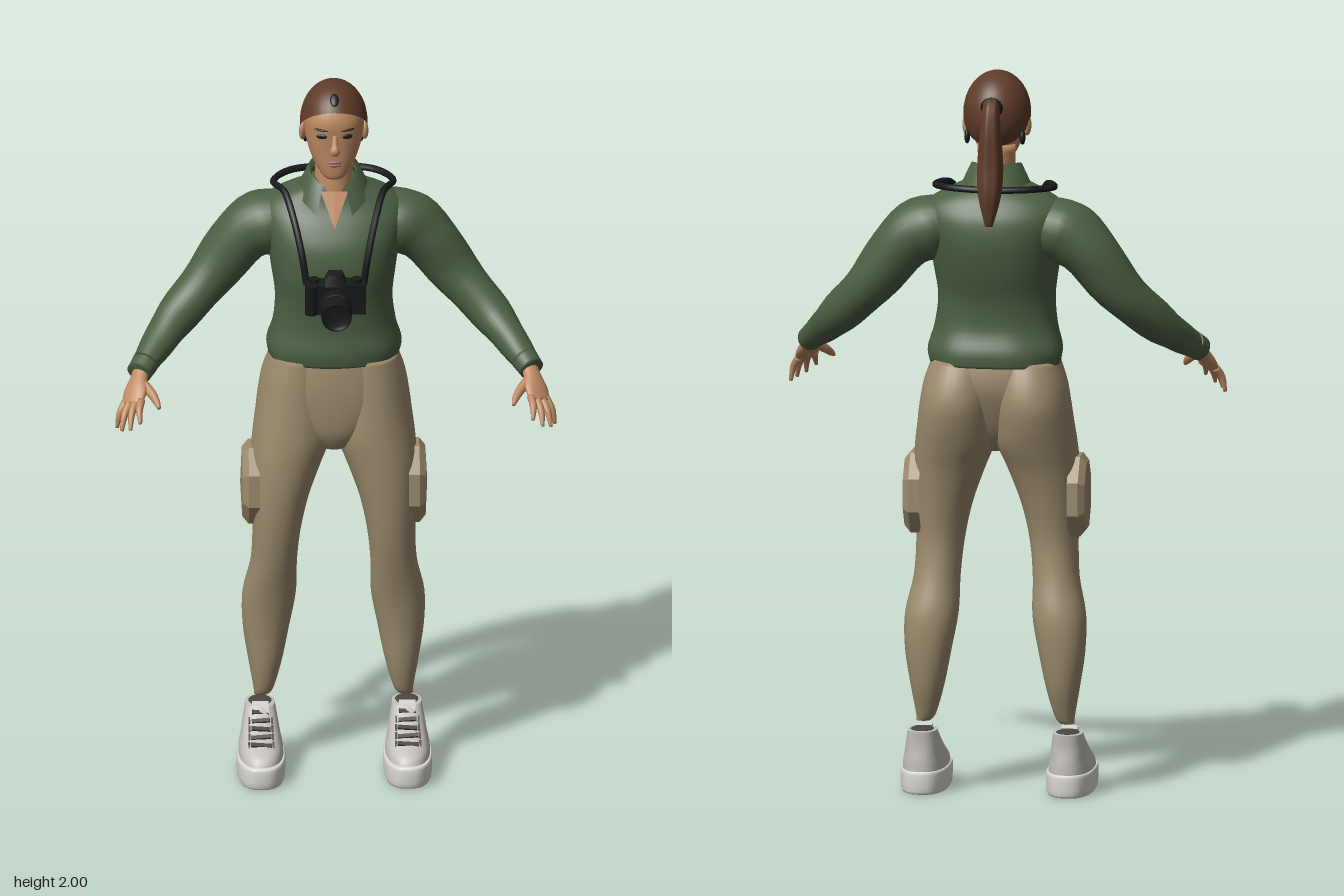
import * as THREE from 'three';

const mat = (name, color, side = THREE.FrontSide) => {
  const m = new THREE.MeshStandardMaterial({ color, side });
  m.name = name;
  return m;
};

// Catmull-Rom interpolation of whole rows of numbers
function smoothRows(rows, steps) {
  const out = [], last = rows.length - 1;
  for (let i = 0; i < last; i++) {
    const p = rows[Math.max(i - 1, 0)], a = rows[i], b = rows[i + 1], q = rows[Math.min(i + 2, last)];
    for (let s = 0; s < steps; s++) {
      const t = s / steps;
      out.push(a.map((v, k) => {
        const c1 = b[k] - p[k], c2 = 2 * p[k] - 5 * v + 4 * b[k] - q[k], c3 = 3 * (v - b[k]) + q[k] - p[k];
        return v + 0.5 * t * (c1 + t * (c2 + t * c3));
      }));
    }
  }
  out.push(rows[last]);
  return out;
}

// Closed skin over rings of points, with fan caps
function skin(rings) {
  const n = rings[0].length, m = rings.length, pos = [], idx = [];
  rings.forEach(r => r.forEach(v => pos.push(v.x, v.y, v.z)));
  for (let i = 0; i < m - 1; i++) for (let j = 0; j < n; j++) {
    const k = (j + 1) % n, a = i * n + j, b = i * n + k, c = b + n, d = a + n;
    idx.push(a, b, c, a, c, d);
  }
  [0, m - 1].forEach(i => {
    const c = new THREE.Vector3();
    rings[i].forEach(v => c.addScaledVector(v, 1 / n));
    const ci = pos.length / 3;
    pos.push(c.x, c.y, c.z);
    for (let j = 0; j < n; j++) {
      const a = i * n + j, b = i * n + (j + 1) % n;
      if (i) idx.push(ci, a, b); else idx.push(ci, b, a);
    }
  });
  const g = new THREE.BufferGeometry();
  g.setAttribute('position', new THREE.Float32BufferAttribute(pos, 3));
  g.setIndex(idx);
  g.computeVertexNormals();
  return g;
}

// Horizontal sections, bottom to top: [y, xMin, xMax, zFront, zBack]
function stack(rows, { power = 2, n = 32, steps = 4, fold = () => 1 } = {}) {
  const e = v => Math.sign(v) * Math.pow(Math.abs(v), 2 / power);
  return skin(smoothRows(rows, steps).map(([y, x0, x1, zf, zb]) =>
    Array.from({ length: n }, (_, j) => {
      const a = j / n * Math.PI * 2, f = fold(a, y);
      return new THREE.Vector3((x0 + x1) / 2 + f * (x1 - x0) / 2 * e(Math.cos(a)), y,
        (zf + zb) / 2 - f * (zf - zb) / 2 * e(Math.sin(a)));
    })));
}
const centred = rows => rows.map(([y, rx, zf, zb]) => [y, -rx, rx, zf, zb]);
const sided = (rows, s) => rows.map(([y, a, b, zf, zb]) => [y, Math.min(a * s, b * s), Math.max(a * s, b * s), zf, zb]);

// Sections across a path: [x, y, z, radiusSide, radiusUp]
function limb(points, { n = 20, steps = 4, ref = [0, 0, 1], fold = () => 1 } = {}) {
  const rows = smoothRows(points, steps), P = rows.map(r => new THREE.Vector3(r[0], r[1], r[2]));
  const up = new THREE.Vector3(...ref);
  return skin(rows.map((r, i) => {
    const T = P[Math.min(i + 1, P.length - 1)].clone().sub(P[Math.max(i - 1, 0)]).normalize();
    const A = up.clone().cross(T).normalize(), B = T.clone().cross(A);
    return Array.from({ length: n }, (_, j) => {
      const a = j / n * Math.PI * 2, f = fold(a, i);
      return P[i].clone().addScaledVector(A, f * r[3] * Math.cos(a)).addScaledVector(B, f * r[4] * Math.sin(a));
    });
  }));
}

export function createModel() {
  const root = new THREE.Group();
  root.name = 'photographer';
  const M = {
    skin: mat('tanned skin', 0xbd8a62), hair: mat('brown hair', 0x5e3b29),
    shirt: mat('green shirt', 0x4c5f43, THREE.DoubleSide), pants: mat('khaki trousers', 0x9d8b6d),
    black: mat('black', 0x18191b), upper: mat('shoe grey', 0xc4c1bb), sole: mat('sole white', 0xdcdad5),
    lace: mat('lace grey', 0x4b4842), lips: mat('lips', 0xa0655a),
  };
  const add = (name, geo, m, pos = [0, 0, 0], rot = [0, 0, 0], parent = root) => {
    const o = new THREE.Mesh(geo, m);
    o.name = name;
    o.position.set(...pos);
    o.rotation.set(...rot);
    parent.add(o);
  };
  const ball = (x, y, z) => new THREE.SphereGeometry(1, 20, 14).scale(x, y, z);

  // Head and neck
  add('neck', stack(centred([[1.6, .065, .005, -.13], [1.7, .052, 0, -.115], [1.8, .052, -.01, -.12]])), M.skin);
  add('head', stack(centred([
    [1.742, .02, .03, 0], [1.752, .034, .039, -.03], [1.785, .056, .043, -.08], [1.83, .073, .046, -.11],
    [1.87, .081, .05, -.13], [1.91, .083, .052, -.138], [1.95, .069, .036, -.13], [1.975, .042, 0, -.1],
  ]), { power: 2.2 }), M.skin);
  add('nose', limb([[0, 1.875, .046, .007, .006], [0, 1.85, .055, .009, .01], [0, 1.835, .061, .014, .013],
    [0, 1.826, .055, .011, .008]], { n: 12 }), M.skin);
  add('upperLip', ball(.02, .005, .005), M.lips, [0, 1.797, .044]);
  add('lowerLip', ball(.017, .005, .005), M.lips, [0, 1.788, .043]);

  // Hair cap, ponytail and clips
  add('hairCap', new THREE.SphereGeometry(1, 36, 22, 0, Math.PI * 2, 0, 1.7).rotateX(-.66)
    .scale(.092, .115, .115).translate(0, 1.885, -.05), M.hair);
  add('ponytail', limb([[0, 1.9, -.15, .02, .02], [0, 1.925, -.18, .025, .022], [0, 1.86, -.197, .034, .028],
    [0, 1.76, -.203, .037, .035], [0, 1.68, -.216, .034, .03], [0, 1.6, -.228, .01, .01]],
  { ref: [1, 0, 0], n: 28, fold: a => 1 + .05 * Math.sin(a * 7) }), M.hair);
  add('hairTie', new THREE.TorusGeometry(.022, .009, 8, 20), M.black, [0, 1.918, -.166], [-.3, 0, 0]);
  add('frontClip', ball(.012, .02, .006), M.black, [0, 1.972, .026], [-.85, 0, 0]);

  // Shirt body with soft folds
  add('shirtBody', stack(centred([
    [1.2, .178, .057, -.207], [1.24, .184, .062, -.208], [1.3, .168, .056, -.187], [1.38, .16, .063, -.19],
    [1.46, .17, .076, -.212], [1.54, .183, .07, -.226], [1.6, .198, .042, -.222], [1.64, .19, .015, -.205],
    [1.67, .15, .002, -.185], [1.7, .085, -.004, -.15], [1.72, .055, -.012, -.13],
  ]), { power: 2.3, n: 48, fold: (a, y) => 1 + .035 * Math.sin(a * 7 + y * 16) * Math.max(0, 1.6 - y) }), M.shirt);

  // Skin in the open neckline
  const vee = new THREE.BufferGeometry();
  vee.setAttribute('position', new THREE.Float32BufferAttribute(
    [-.038, 1.7, .01, 0, 1.605, .05, 0, 1.7, .012, 0, 1.7, .012, 0, 1.605, .05, .038, 1.7, .01], 3));
  vee.computeVertexNormals();
  add('neckline', vee, M.skin);

  // Collar: open strip round the neck, falling to two points in front
  const cPos = [], cIdx = [], steps = 28;
  for (let i = 0; i <= steps; i++) {
    const a = (i / steps * 2 - 1) * 2.65, d = Math.pow(Math.abs(a) / 2.65, 3), s = Math.sin(a), c = Math.cos(a);
    cPos.push(.06 * s, 1.735 - .03 * d, -.06 - .068 * c);
    cPos.push(.068 * s, 1.757 - .045 * d, -.062 - .078 * c);
    cPos.push(.1 * s, 1.69 - .05 * d, -.068 - .108 * c + .012 * d);
    if (i) for (const k of [0, 1]) {
      const p = (i - 1) * 3 + k, q = p + 3;
      cIdx.push(p, q, p + 1, q, q + 1, p + 1);
    }
  }
  const collar = new THREE.BufferGeometry();
  collar.setAttribute('position', new THREE.Float32BufferAttribute(cPos, 3));
  collar.setIndex(cIdx);
  collar.computeVertexNormals();
  add('collar', collar, M.shirt);

  // Hips
  add('hips', stack(centred([[.95, .04, .02, -.09], [1, .11, .046, -.14], [1.08, .18, .056, -.18],
    [1.15, .187, .057, -.2], [1.225, .173, .05, -.19]]), { power: 2.2 }), M.pants);

  for (const s of [1, -1]) {
    const side = s > 0 ? 'left' : 'right';
    const at = rows => rows.map(([x, ...r]) => [x * s, ...r]);

    // Face details and ears
    add(side + 'Eye', ball(.015, .007, .004), M.black, [s * .035, 1.873, .044], [0, s * .3, 0]);
    add(side + 'Brow', ball(.02, .003, .004), M.black, [s * .036, 1.892, .045], [0, s * .3, s * .1]);
    add(side + 'Ear', ball(.01, .028, .017), M.skin, [s * .084, 1.852, -.062], [.2, s * .3, 0]);
    add(side + 'EarClip', ball(.008, .02, .014), M.black, [s * .076, 1.825, -.1]);

    // Sleeve and cuff
    add(side + 'Sleeve', limb(at([[.1, 1.585, -.1, .065, .075], [.18, 1.573, -.105, .088, .095], [.25, 1.528, -.11, .081, .083],
      [.34, 1.412, -.1, .066, .068], [.43, 1.318, -.045, .056, .057], [.485, 1.262, .025, .044, .046], [.533, 1.215, .1, .032, .034]]),
    { n: 28, fold: (a, i) => 1 + .022 * Math.sin(i * 1.3 + a * 2) }), M.shirt);
    add(side + 'Cuff', limb(at([[.516, 1.232, .075, .037, .039], [.536, 1.212, .106, .034, .036]]), { n: 24 }), M.shirt);

    // Hand
    const hand = new THREE.Group();
    hand.name = side + 'Hand';
    root.add(hand);
    const ref = [s * .054, .0725, .05];
    const flesh = (name, rows, n) => add(name, limb(at(rows), { n, ref }), M.skin, undefined, undefined, hand);
    flesh('palm', [[.526, 1.222, .09, .024, .02], [.536, 1.2, .12, .026, .019], [.546, 1.175, .15, .036, .017],
      [.556, 1.147, .178, .033, .011]], 20);
    [[-1.3, .535, 1.115, .24], [-.4, .562, 1.095, .235], [.5, .585, 1.085, .215], [1.3, .597, 1.08, .175]].forEach(([k, x, y, z]) => {
      const b = [.552 + .016 * k, 1.155 - .005 * k, .171 - .01 * k];
      flesh('finger', [[...b, .011, .011], [(b[0] + x) / 2 + .004, (b[1] + y) / 2 + .006, (b[2] + z) / 2 + .005, .0095, .0095],
        [x, y, z, .005, .005]], 10);
    });
    flesh('thumb', [[.532, 1.198, .13, .015, .014], [.503, 1.175, .165, .013, .012], [.49, 1.16, .188, .01, .01],
      [.483, 1.148, .21, .005, .005]], 10);

    // Trouser leg
    add(side + 'TrouserLeg', stack(sided([
      [.2, .178, .217, -.07, -.108], [.22, .163, .218, -.055, -.118], [.3, .14, .232, -.037, -.145], [.4, .12, .247, -.027, -.16],
      [.5, .102, .248, -.01, -.16], [.6, .1, .227, .016, -.136], [.7, .09, .222, .037, -.125], [.8, .068, .225, .05, -.14],
      [.9, .032, .227, .056, -.165], [.97, .004, .222, .058, -.192], [1.03, 0, .214, .056, -.213], [1.09, 0, .206, .053, -.225],
      [1.15, 0, .195, .05, -.215], [1.21, .01, .174, .045, -.19]], s), { power: 2.15 }), M.pants);

    // Eight-sided thigh pocket with bevelled face
    const pocket = new THREE.LatheGeometry([[1, -.03], [1, 0], [.82, .017], [0, .022]].map(p => new THREE.Vector2(...p)), 8)
      .toNonIndexed();
    pocket.rotateY(Math.PI / 8).rotateZ(-s * Math.PI / 2).scale(1, .12, .092);
    pocket.computeVertexNormals();
    add(side + 'Pocket', pocket, M.pants, [s * .233, .83, -.058]);

    // Shoe
    const shoe = new THREE.Group();
    shoe.name = side + 'Shoe';
    shoe.position.x = s * .2;
    root.add(shoe);
    const part = (name, geo, m, pos, rot) => add(name, geo, m, pos, rot, shoe);
    part('sole', stack(centred([[0, .058, .128, -.138], [.008, .065, .14, -.145], [.055, .067, .143, -.148], [.064, .063, .136, -.144]]),
      { power: 2.6, steps: 3 }), M.sole);
    part('upper', stack(centred([[.055, .062, .134, -.143], [.08, .06, .12, -.143], [.1, .055, .085, -.142], [.12, .051, .04, -.14],
      [.14, .047, .004, -.139], [.16, .043, -.025, -.14], [.176, .04, -.045, -.141]]), { power: 2.4 }), M.upper);
    part('tongue', new THREE.BoxGeometry(.045, .06, .012), M.upper, [0, .162, -.04], [-.75, 0, 0]);
    part('shoeOpening', ball(.032, .004, .04), M.lace, [0, .177, -.095]);
    for (let i = 0; i < 5; i++) {
      part('lace', new THREE.BoxGeometry(.058 - i * .003, .006, .012), M.lace,
        [0, .107 + i * .014, .07 - i * .026], [.55, 0, (i % 2 ? 1 : -1) * .12]);
      for (const e of [-1, 1]) part('laceEdge', new THREE.BoxGeometry(.006, .012, .022), M.lace,
        [e * (.033 - i * .001), .1 + i * .014, .058 - i * .026], [.55, 0, 0]);
    }
  }

  // Camera strap
  const half = [[.078, 1.46, .09], [.09, 1.54, .083], [.113, 1.635, .035], [.135, 1.685, -.03], [.163, 1.69, -.1], [.115, 1.695, -.17]];
  const path = [...half, [0, 1.695, -.198], ...half.map(([x, y, z]) => [-x, y, z]).reverse()];
  add('strap', new THREE.TubeGeometry(new THREE.CatmullRomCurve3(path.map(p => new THREE.Vector3(...p))), 90, .0095, 8), M.black);

  // Camera
  const cam = new THREE.Group();
  cam.name = 'camera';
  cam.position.set(0, 1.43, .105);
  cam.rotation.x = .08;
  root.add(cam);
  const cp = (name, geo, m, pos) => add(name, geo, m, pos, undefined, cam);
  cp('cameraBody', new THREE.BoxGeometry(.165, .088, .05), M.black);
  cp('grip', new THREE.CylinderGeometry(.016, .016, .085, 14), M.black, [-.066, 0, .022]);
  cp('viewfinder', new THREE.CylinderGeometry(.026, .042, .03, 4).rotateY(Math.PI / 4), M.black, [0, .056, 0]);
  for (const x of [-.058, .058]) cp('dial', new THREE.CylinderGeometry(.014, .014, .014, 16), M.black, [x, .048, 0]);
  const lens = [[0, 0], [.038, 0], [.038, .035], [.042, .038], [.042, .06], [.039, .063], [.039, .07], [.043, .073], [.043, .1],
    [.039, .104], [.041, .125], [.036, .125], [.033, .112], [0, .116]];
  cp('lens', new THREE.LatheGeometry(lens.map(p => new THREE.Vector2(...p)), 28).rotateX(Math.PI / 2), M.black, [0, -.003, .005]);
  cp('lensRing', new THREE.CylinderGeometry(.0405, .0405, .004, 28, 1, true).rotateX(Math.PI / 2), M.lace, [0, -.003, .072]);

  return root;
}
